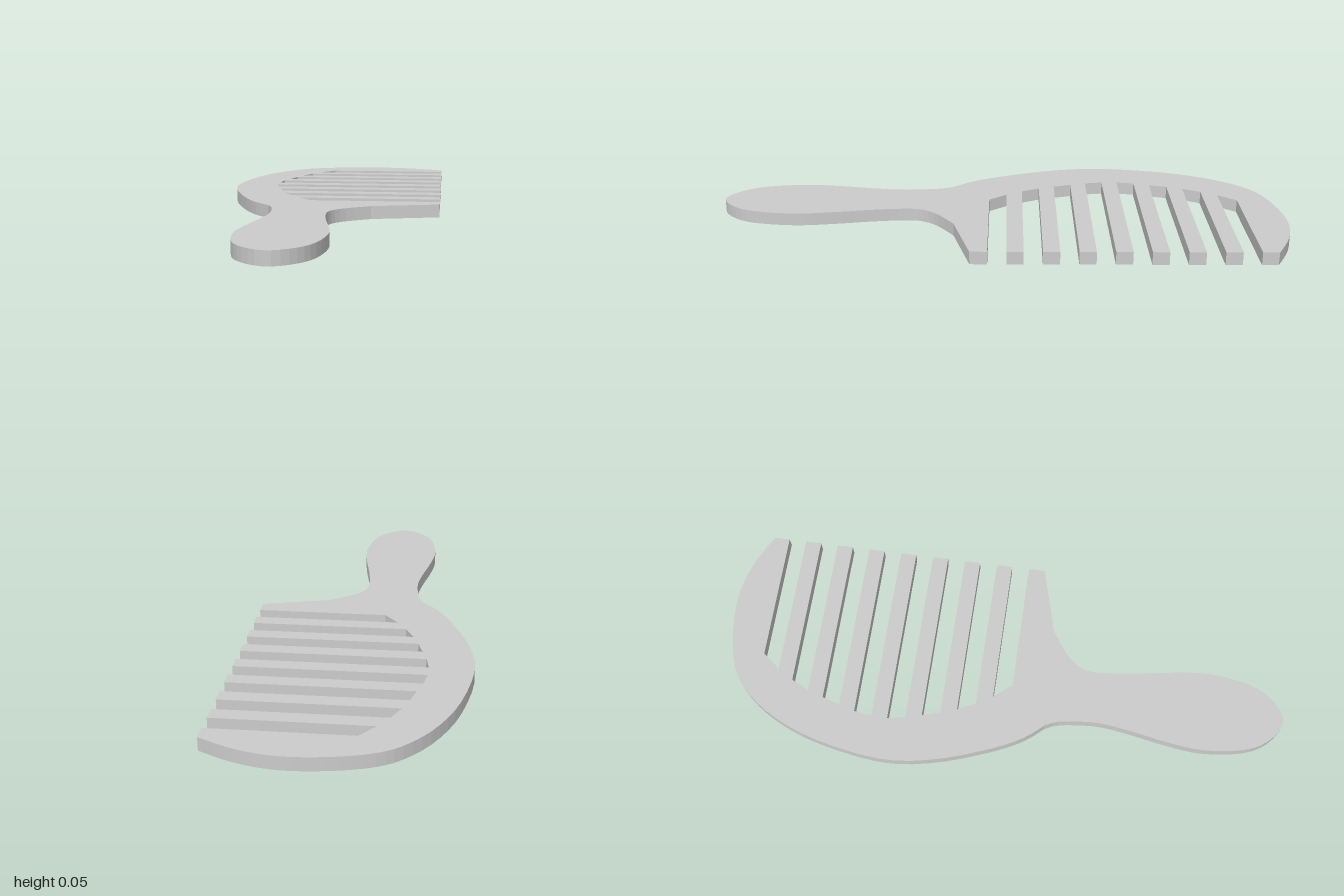
import * as THREE from 'three';

const THICKNESS = 0.045;
const EDGE_X = 0.394; // tips of the teeth

// Outline points are written as [x, z]; the shape plane uses y = -z.
const toShape = (points) => points.map(([x, z]) => new THREE.Vector2(x, -z));

export function createModel() {
  const group = new THREE.Group();
  group.name = 'comb';
  const shape = new THREE.Shape();

  // Curved back of the head, from the far tooth tip round to the neck
  shape.moveTo(EDGE_X, 0.915);
  shape.splineThru(toShape([
    [0.3, -0.962], [0.21, -0.99], [0.11, -1], [-0.02, -0.985], [-0.13, -0.952],
    [-0.21, -0.895], [-0.29, -0.785], [-0.355, -0.62], [-0.394, -0.385],
    [-0.372, -0.2], [-0.31, -0.015], [-0.255, 0.098], [-0.197, 0.17],
  ]));

  // Handle, down one side and up the other
  shape.splineThru(toShape([
    [-0.175, 0.225], [-0.163, 0.35], [-0.175, 0.46], [-0.2, 0.6], [-0.212, 0.73],
    [-0.19, 0.875], [-0.142, 0.958], [-0.07, 1], [0.002, 0.958], [0.05, 0.875],
    [0.072, 0.73], [0.06, 0.6], [0.036, 0.46], [0.024, 0.35], [0.031, 0.28],
    [0.075, 0.22], [0.16, 0.16],
  ]));
  shape.lineTo(EDGE_X, -0.098);

  // Eight slots between the teeth; the slanted roots follow the curved back
  const roots = [[-0.065, -0.115], [-0.149, -0.18], [-0.199, -0.217], [-0.234, -0.244]];
  const pitch = 0.1195, slotWidth = 0.063;
  for (let i = 7; i >= 0; i--) {
    const [far, near] = i < 4 ? roots[i] : [...roots[7 - i]].reverse();
    const z = -0.86 + i * pitch;
    shape.lineTo(EDGE_X, -(z + slotWidth));
    shape.lineTo(near, -(z + slotWidth));
    shape.lineTo(far, -z);
    shape.lineTo(EDGE_X, -z);
  }
  shape.closePath();

  const geometry = new THREE.ExtrudeGeometry(shape, {
    depth: THICKNESS, bevelEnabled: false, curveSegments: 3,
  });
  geometry.rotateX(-Math.PI / 2);

  // Flat one-piece body: head, teeth and handle
  const body = new THREE.Mesh(geometry, new THREE.MeshStandardMaterial({ color: 0xcccccc }));
  body.name = 'combBody';
  group.add(body);
  return group;
}
